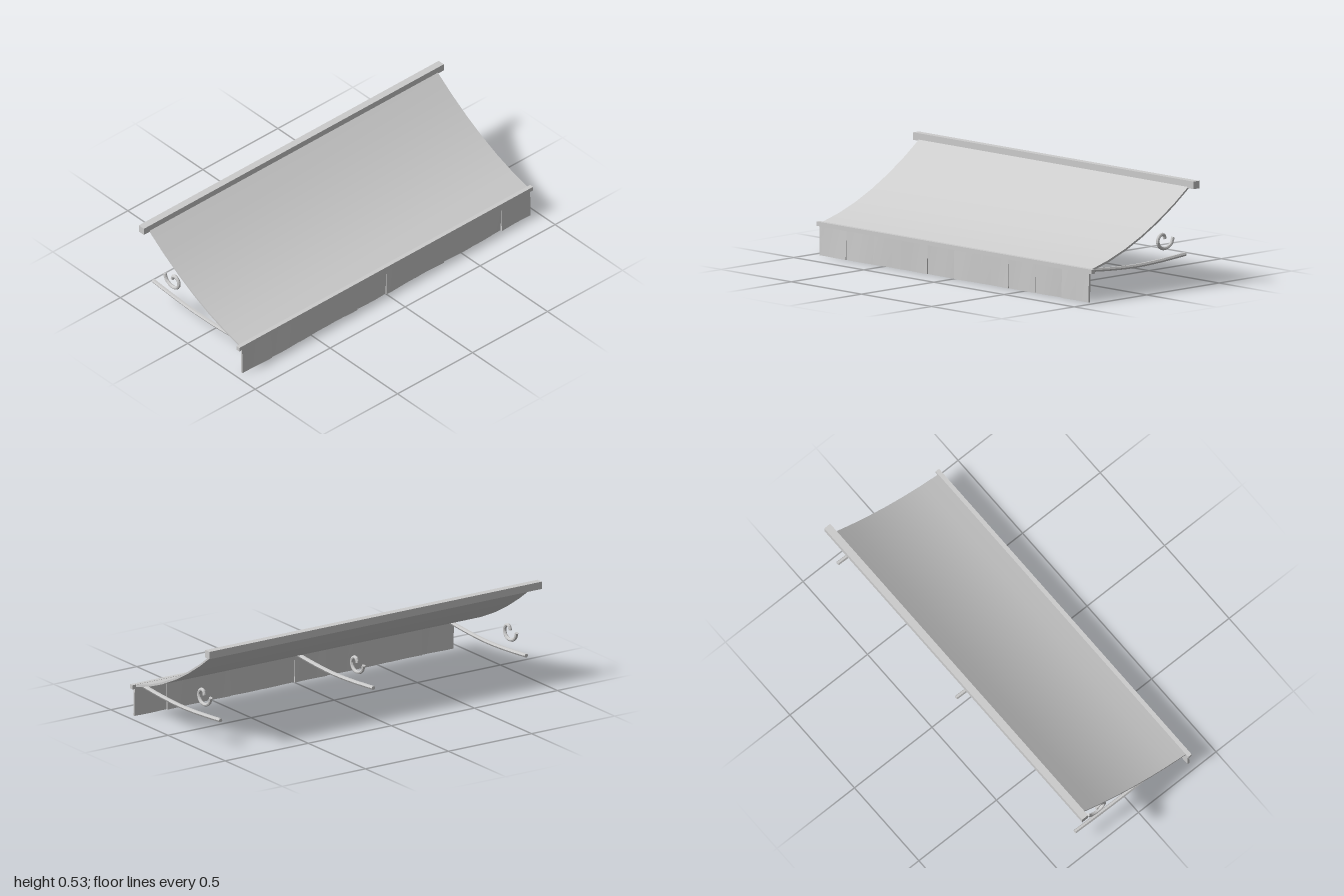
import * as THREE from 'three';

const metal = new THREE.MeshStandardMaterial({ color: 0xcccccc });
metal.name = 'light grey';

function add(parent, name, geometry, x = 0, y = 0, z = 0) {
  const mesh = new THREE.Mesh(geometry, metal);
  mesh.name = name;
  mesh.position.set(x, y, z);
  parent.add(mesh);
  return mesh;
}

// Move every vertex by a rule and refresh the normals
function bend(geometry, rule) {
  const p = geometry.attributes.position;
  const v = new THREE.Vector3();
  for (let i = 0; i < p.count; i++) {
    rule(v.fromBufferAttribute(p, i));
    p.setXYZ(i, v.x, v.y, v.z);
  }
  geometry.computeVertexNormals();
  return geometry;
}

// Faceted, capped rod along a path of [y, z] points
function rod(points, radius, sides, steps) {
  const path = new THREE.CatmullRomCurve3(points.map(([y, z]) => new THREE.Vector3(0, y, z)));
  const section = new THREE.Shape();
  for (let i = 0; i < sides; i++) {
    const a = (i / sides) * Math.PI * 2;
    const x = radius * Math.cos(a), y = radius * Math.sin(a);
    if (i === 0) section.moveTo(x, y);
    else section.lineTo(x, y);
  }
  section.closePath();
  return new THREE.ExtrudeGeometry(section, { steps, extrudePath: path, bevelEnabled: false });
}

export function createModel() {
  const awning = new THREE.Group();
  awning.name = 'awning';

  // Wall bar and front bar
  add(awning, 'wallBar', new THREE.BoxGeometry(2, 0.038, 0.038), 0, 0.512, -0.344);
  add(awning, 'frontBar', new THREE.BoxGeometry(1.96, 0.022, 0.022), 0, 0.156, 0.349);

  // Sagging canopy sheet
  add(awning, 'canopy', bend(new THREE.BoxGeometry(1.92, 0.011, 0.68, 1, 1, 6), (v) => {
    v.y += 0.285 - 0.507 * v.z + 0.41 * v.z * v.z;
  }));

  // Valance of ten panels, each fluttering a little toward the bottom
  const valance = new THREE.Group();
  valance.name = 'valance';
  const lean = [0.004, 0.002, 0, -0.001, -0.004, 0.001, 0, -0.002, -0.004, 0.002];
  lean.forEach((offset, i) => {
    const panel = bend(new THREE.BoxGeometry(0.192, 0.148, 0.011, 6, 2, 1), (v) => {
      const drop = 0.5 - v.y / 0.148;
      v.z += drop * (offset + 0.0025 * Math.sin(v.x * 22 + i * 1.9));
    });
    add(valance, 'valancePanel', panel, -0.864 + i * 0.192, 0.074, 0.354);
  });
  awning.add(valance);

  // Three support arms, each with a scroll above its wall end
  const arm = rod([[0.155, 0.34], [0.142, 0.17], [0.136, 0], [0.142, -0.17], [0.155, -0.344]], 0.0105, 6, 12);
  const scroll = rod([
    [0.25, -0.259], [0.221, -0.247], [0.206, -0.226], [0.2, -0.2], [0.206, -0.175],
    [0.222, -0.159], [0.243, -0.154], [0.263, -0.163], [0.273, -0.181], [0.266, -0.198], [0.249, -0.202],
  ], 0.009, 8, 24);
  for (const x of [-0.92, 0, 0.92]) {
    const support = new THREE.Group();
    support.name = 'support';
    support.position.x = x;
    add(support, 'arm', arm);
    add(support, 'scroll', scroll);
    awning.add(support);
  }
  return awning;
}
